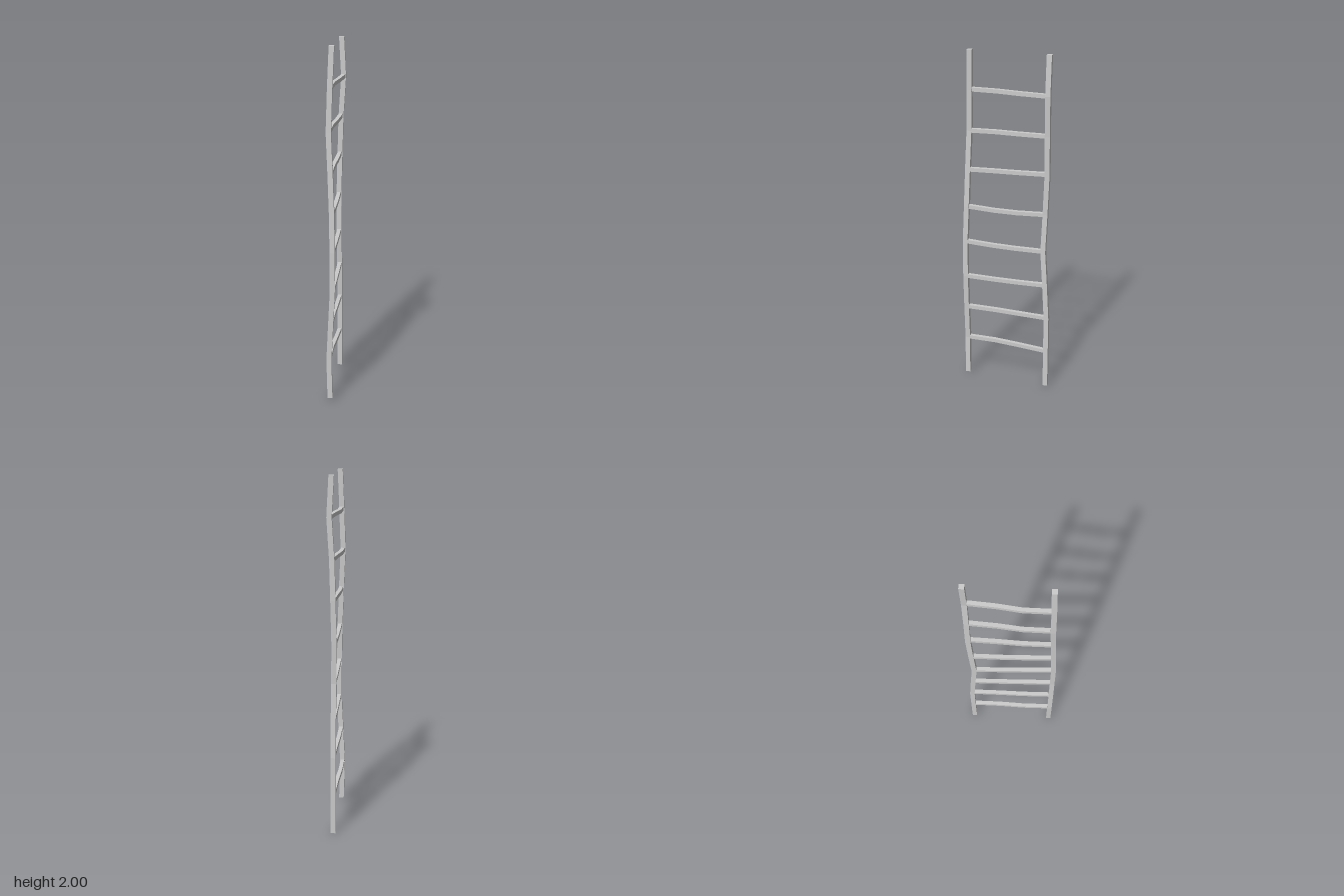
import * as THREE from 'three';

const material = new THREE.MeshStandardMaterial({ color: 0xcccccc, flatShading: true });

// Square bar whose rings follow a list of [x, y, z] points along one axis ('y' or 'z')
function bentBar(name, points, width, axis) {
  const n = points.length - 1;
  const geo = axis === 'y'
    ? new THREE.BoxGeometry(width, n, width, 1, n, 1)
    : new THREE.BoxGeometry(width, width, n, 1, 1, n);
  const pos = geo.attributes.position;
  const v = new THREE.Vector3();
  for (let i = 0; i < pos.count; i++) {
    v.fromBufferAttribute(pos, i);
    const p = points[Math.round(v[axis] + n / 2)];
    v[axis] = 0;
    pos.setXYZ(i, v.x + p[0], v.y + p[1], v.z + p[2]);
  }
  geo.computeVertexNormals();
  const mesh = new THREE.Mesh(geo, material);
  mesh.name = name;
  return mesh;
}

// Rail centre lines from the foot up; every inner point carries a rung
const frontPoints = [
  [-0.014, 0.015, 0.24], [-0.02, 0.25, 0.24], [-0.01, 0.46, 0.241], [0, 0.665, 0.241],
  [-0.001, 0.885, 0.24], [-0.005, 1.1, 0.231], [-0.013, 1.32, 0.223], [-0.023, 1.545, 0.214],
  [-0.016, 1.78, 0.209], [-0.007, 2, 0.202],
];
const backPoints = [
  [0.001, 0, -0.243], [0, 0.23, -0.243], [0.001, 0.45, -0.243], [0, 0.66, -0.231],
  [-0.002, 0.87, -0.217], [-0.004, 1.095, -0.226], [0.001, 1.335, -0.235], [0.007, 1.555, -0.234],
  [0.021, 1.78, -0.236], [0.009, 2, -0.238],
];
// Height offsets at the middle of each rung
const sag = [0.005, 0.001, -0.003, -0.005, -0.008, -0.001, 0, 0];

export function createModel() {
  const ladder = new THREE.Group();
  ladder.name = 'ladder';
  ladder.add(bentBar('frontRail', frontPoints, 0.028, 'y'));
  ladder.add(bentBar('backRail', backPoints, 0.028, 'y'));

  // Rungs run from the back rail to the front rail with a slight bend
  const along = [0, 0.36, 0.65, 1];
  const drift = [0, 0.4, 0.9, 1];
  sag.forEach((s, i) => {
    const a = backPoints[i + 1], b = frontPoints[i + 1];
    const points = along.map((t, k) => [
      THREE.MathUtils.lerp(a[0], b[0], drift[k]),
      THREE.MathUtils.lerp(a[1], b[1], t) + (k === 1 || k === 2 ? s : 0),
      THREE.MathUtils.lerp(a[2], b[2], t),
    ]);
    ladder.add(bentBar('rung' + (i + 1), points, 0.022, 'z'));
  });
  return ladder;
}
